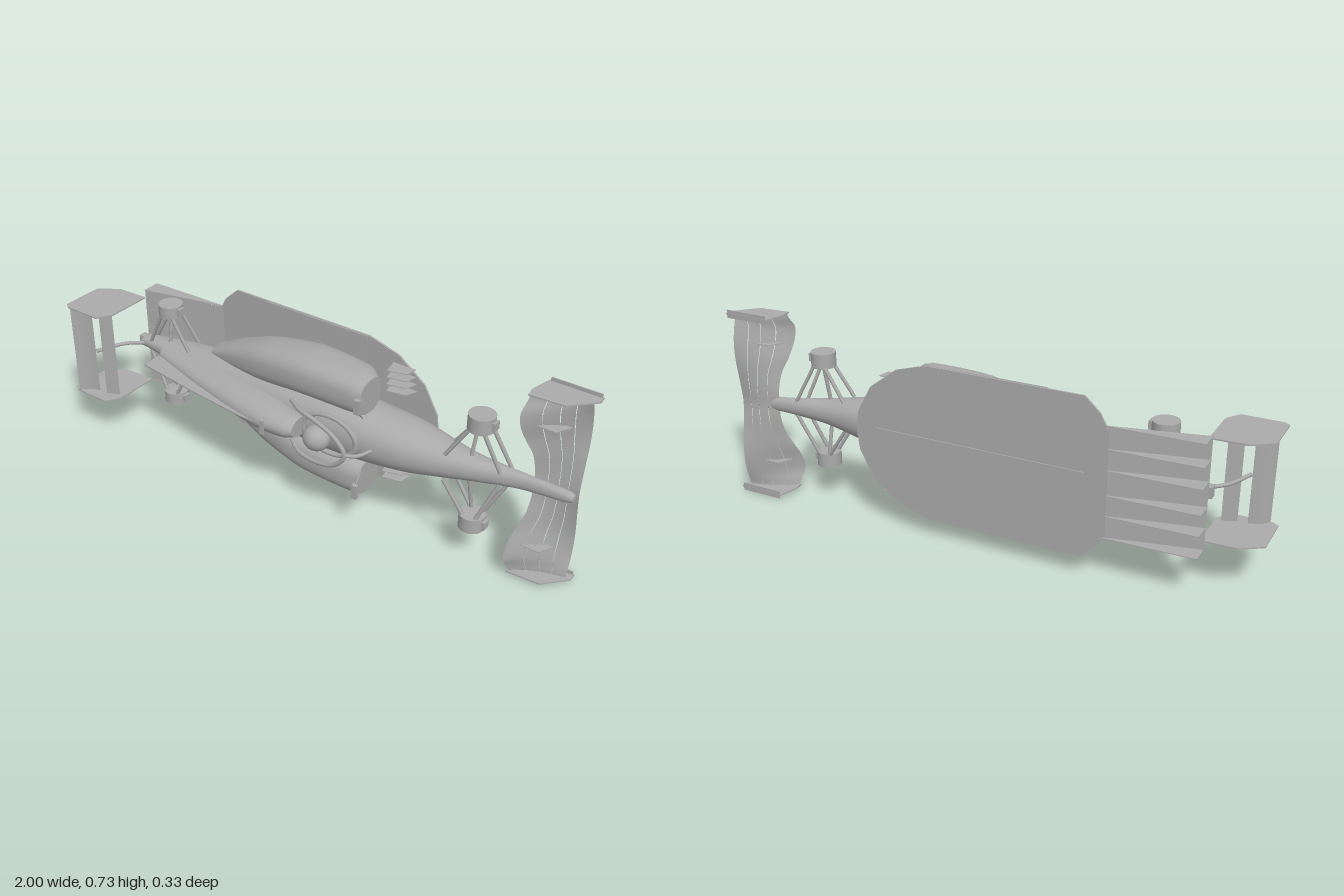
import * as THREE from 'three';

const paint = new THREE.MeshStandardMaterial({ color: 0xaaaaaa, side: THREE.DoubleSide });
paint.name = 'plain grey';

// The car lies on its side: nose to +x, its roof to +z, its width along y.
export function createModel() {
  const model = new THREE.Group();
  const car = new THREE.Group();
  car.name = 'car';
  car.position.y = 0.365;
  model.add(car);

  const add = (name, geometry) => {
    const mesh = new THREE.Mesh(geometry, paint);
    mesh.name = name;
    car.add(mesh);
    return mesh;
  };
  const V = (x, y, z) => new THREE.Vector3(x, y, z);

  // Smooth hull through sections [x, yMin, yMax, zBottom, zTop], listed from nose to tail
  const loft = (name, sections, power = 2.3, steps = 40, sides = 36) => {
    const plan = new THREE.CatmullRomCurve3(sections.map(s => V(s[0], s[1], s[2])), false, 'catmullrom', 0.4);
    const side = new THREE.CatmullRomCurve3(sections.map(s => V(s[0], s[3], s[4])), false, 'catmullrom', 0.4);
    const pos = [], idx = [];
    const bend = v => Math.sign(v) * Math.abs(v) ** (2 / power);
    for (let i = 0; i <= steps; i++) {
      const p = plan.getPoint(i / steps), q = side.getPoint(i / steps);
      for (let j = 0; j < sides; j++) {
        const a = (j / sides) * Math.PI * 2;
        pos.push(p.x, (p.y + p.z) / 2 + (p.z - p.y) / 2 * bend(Math.cos(a)),
          (q.y + q.z) / 2 + (q.z - q.y) / 2 * bend(Math.sin(a)));
        if (i < steps) {
          const k = (j + 1) % sides, r = i * sides, n = r + sides;
          idx.push(r + j, n + j, r + k, r + k, n + j, n + k);
        }
      }
    }
    // separate end caps keep the rims sharp
    for (const end of [0, steps]) {
      const base = pos.length / 3;
      pos.push(...pos.slice(end * sides * 3, (end + 1) * sides * 3));
      for (let j = 1; j < sides - 1; j++)
        idx.push(base, base + (end ? j + 1 : j), base + (end ? j : j + 1));
    }
    const g = new THREE.BufferGeometry();
    g.setAttribute('position', new THREE.Float32BufferAttribute(pos, 3));
    g.setIndex(idx);
    g.computeVertexNormals();
    return add(name, g);
  };

  // Thin sheet: rule(u, v) gives a point
  const sheet = (name, rule, nu = 1, nv = 1) => {
    const g = new THREE.PlaneGeometry(1, 1, nu, nv);
    const p = g.attributes.position;
    for (let i = 0; i < p.count; i++) p.setXYZ(i, ...rule(p.getX(i) + 0.5, p.getY(i) + 0.5));
    g.computeVertexNormals();
    return add(name, g);
  };

  // Upright plate: outline in x and z, thickness along y
  const plate = (name, points, y, t = 0.005) => {
    const g = new THREE.ExtrudeGeometry(new THREE.Shape(points.map(p => new THREE.Vector2(...p))),
      { depth: t, bevelEnabled: false });
    g.rotateX(Math.PI / 2).translate(0, y + t / 2, 0);
    return add(name, g);
  };

  // Flat board: outline in x and y, thickness along z
  const board = (name, points, z, t) => {
    const g = new THREE.ExtrudeGeometry(new THREE.Shape(points.map(p => new THREE.Vector2(...p))),
      { depth: t, bevelEnabled: false });
    return add(name, g.translate(0, 0, z));
  };
  const tube = (name, pts, r, n = 20) =>
    add(name, new THREE.TubeGeometry(new THREE.CatmullRomCurve3(pts.map(p => V(...p))), n, r, 8));
  const box = (name, x, y, z, w, h, d) => add(name, new THREE.BoxGeometry(w, h, d).translate(x, y, z));

  // Main hull, from nose tip to gearbox
  loft('chassis', [[0.98, 0.012, -0.115, -0.09], [0.95, 0.021, -0.12, -0.084], [0.8, 0.03, -0.112, -0.07],
    [0.65, 0.045, -0.115, -0.022], [0.55, 0.062, -0.13, 0.01], [0.42, 0.085, -0.155, 0.045],
    [0.27, 0.1, -0.16, 0.064], [0.1, 0.112, -0.16, 0.066], [-0.1, 0.1, -0.16, 0.06], [-0.35, 0.07, -0.155, 0.03],
    [-0.6, 0.045, -0.13, -0.01], [-0.81, 0.022, -0.09, -0.035]]
    .map(([x, w, b, t]) => [x, -w, w, b, t]), 2.2, 60);
  loft('engineCover', [[0.04, 0.036, 0.03, 0.13], [0, 0.044, 0.02, 0.148], [-0.1, 0.054, -0.02, 0.15],
    [-0.25, 0.054, -0.05, 0.125], [-0.45, 0.044, -0.08, 0.075], [-0.68, 0.03, -0.1, 0.005]]
    .map(([x, w, b, t]) => [x, -w, w, b, t]), 2);
  plate('engineFin', [[-0.68, -0.01], [-0.68, 0.088], [-0.4, 0.126], [-0.18, 0.149], [-0.1, 0.15], [-0.1, 0.05]], 0);
  box('roofCamera', -0.065, 0, 0.16, 0.016, 0.056, 0.008);
  box('tailLight', -0.81, 0, -0.06, 0.035, 0.04, 0.03);

  // Cockpit with helmet and protective hoop
  const rim = add('cockpitRim', new THREE.TorusGeometry(0.075, 0.008, 8, 40));
  rim.scale.x = 1.45;
  rim.position.set(0.15, 0, 0.06);
  const helmet = add('helmet', new THREE.SphereGeometry(0.046, 28, 20));
  helmet.scale.x = 1.08;
  helmet.position.set(0.125, 0, 0.1);
  tube('hoop', [[-0.01, -0.082, 0.06], [0.05, -0.088, 0.1], [0.14, -0.082, 0.122], [0.22, -0.055, 0.132],
    [0.262, 0, 0.132], [0.22, 0.055, 0.132], [0.14, 0.082, 0.122], [0.05, 0.088, 0.1], [-0.01, 0.082, 0.06]], 0.008, 50);
  tube('hoopPillar', [[0.262, 0, 0.132], [0.298, 0, 0.108], [0.32, 0, 0.05]], 0.007);

  // Floor and diffuser
  const half = [[0.45, 0.0], [0.44, 0.075], [0.385, 0.175], [0.28, 0.255], [0.16, 0.29],
    [-0.42, 0.29], [-0.475, 0.24], [-0.505, 0.185]];
  board('floor', [...half, ...half.slice(1).reverse().map(([x, y]) => [x, -y])], -0.165, 0.007);
  box('plank', -0.03, 0, -0.167, 0.8, 0.05, 0.004);
  sheet('diffuser', (u, v) => [-0.48 - 0.34 * u, (v - 0.5) * 0.4, -0.16 + 0.072 * u]);
  for (const y of [-0.2, -0.12, -0.045, 0.045, 0.12, 0.2])
    plate('diffuserFence', [[-0.48, -0.165], [-0.82, -0.155], [-0.82, -0.085]], y, 0.003);

  // Front wing: four wavy elements stacked along the chord
  const topEdge = new THREE.CatmullRomCurve3([V(0, -0.1, 0.84), V(0.05, -0.1, 0.838), V(0.12, -0.085, 0.83),
    V(0.18, -0.06, 0.81), V(0.24, -0.032, 0.8), V(0.29, -0.025, 0.798), V(0.325, -0.045, 0.805), V(0.35, -0.055, 0.81)]);
  const wingPoint = (y, s) => {
    const e = topEdge.getPoint(Math.min(1, Math.abs(y) / 0.35));
    const low = -0.147 + 0.012 * Math.cos(Math.abs(y) * 18);
    const x = e.z + (0.982 - e.z) * s;
    return [x, y < 0 ? -e.x : e.x, e.y + (low - e.y) * s ** 0.8 - 0.008 * Math.sin(s * Math.PI)];
  };
  for (const [a, b] of [[0, 0.27], [0.28, 0.51], [0.52, 0.73], [0.74, 1]])
    sheet('frontWingElement', (u, v) => wingPoint((v - 0.5) * 0.7, a + (b - a) * u), 5, 64);

  // Rear wing
  sheet('rearWingFlap', (u, v) => [-0.97 + 0.065 * u, (v - 0.5) * 0.36, 0.165 - 0.046 * Math.sqrt(u)], 8, 1);
  sheet('rearWingPlane', (u, v) => [-0.87 + 0.05 * u, (v - 0.5) * 0.36, 0.118 - 0.021 * u], 4, 1);
  tube('rearWingStrut', [[-0.78, 0, -0.05], [-0.85, 0, 0.01], [-0.9, 0, 0.12]], 0.007);

  // Paired parts
  for (const s of [-1, 1]) {
    loft('sidepod', [[0.265, 0.1, 0.225, -0.075, 0.05], [0.2, 0.09, 0.237, -0.12, 0.055], [0, 0.08, 0.234, -0.15, 0.05],
      [-0.2, 0.05, 0.195, -0.155, 0.02], [-0.35, 0.035, 0.135, -0.155, -0.02], [-0.47, 0.025, 0.075, -0.15, -0.055]]
      .map(([x, a, b, l, t]) => s > 0 ? [x, a, b, l, t] : [x, -b, -a, l, t]), 2.7);
    box('floorEdgeWing', -0.065, s * 0.272, -0.153, 0.44, 0.036, 0.004);
    for (let i = 0; i < 4; i++)
      plate('floorFence', [[0.26, -0.16], [0.36 - i * 0.004, -0.16], [0.34, -0.115], [0.27, -0.1]],
        s * (0.14 + i * 0.027), 0.003);

    // Mirrors
    box('mirror', 0.275, s * 0.172, 0.083, 0.02, 0.054, 0.016);
    tube('mirrorStalk', [[0.275, s * 0.145, 0.076], [0.272, s * 0.108, 0.045]], 0.003, 4);

    // Front wing ends
    plate('frontEndplate', [[0.82, -0.165], [1, -0.165], [1, -0.135], [0.925, -0.055], [0.805, -0.047], [0.8, -0.085]], s * 0.35);
    box('frontEndplateFoot', 0.91, s * 0.35, -0.162, 0.17, 0.03, 0.004);
    plate('frontWingFin', [[0.82, -0.07], [0.9, -0.07], [0.93, -0.125], [0.85, -0.125]], s * 0.237, 0.003);
    // Rear wing ends
    plate('rearEndplate', [[-1, -0.01], [-0.925, 0.06 - 0.12], [-0.8, -0.065], [-0.8, 0.11], [-0.835, 0.165],
      [-0.98, 0.165], [-1, 0.15]], s * 0.182);

    // Hubs and suspension arms
    for (const [end, x, y0, y1, arms] of [
      ['front', 0.66, 0.17, 0.225, [[0.55, 0.05, -0.09], [0.56, 0.05, -0.01], [0.76, 0.025, -0.1], [0.74, 0.025, -0.055], [0.63, 0.035, -0.06]]],
      ['rear', -0.655, 0.165, 0.21, [[-0.58, 0.04, -0.11], [-0.56, 0.04, -0.03], [-0.77, 0.02, -0.085], [-0.76, 0.02, -0.04], [-0.68, 0.03, -0.06]]]]) {
      add(end + 'Hub', new THREE.CylinderGeometry(0.046, 0.046, y1 - y0, 24).translate(x, s * (y0 + y1) / 2, -0.05));
      arms.forEach(([ax, ay, az], i) => tube(end + 'SuspensionArm',
        [[ax, s * ay, az], [x + Math.sign(ax - x) * 0.02, s * (y0 + 0.01), i % 2 ? -0.025 : -0.08]], 0.007, 4));
      box(end + 'BrakeDuct', x + 0.03, s * (y0 + y1) / 2, -0.05, 0.05, 0.03, 0.03);
    }
  }
  return model;
}
